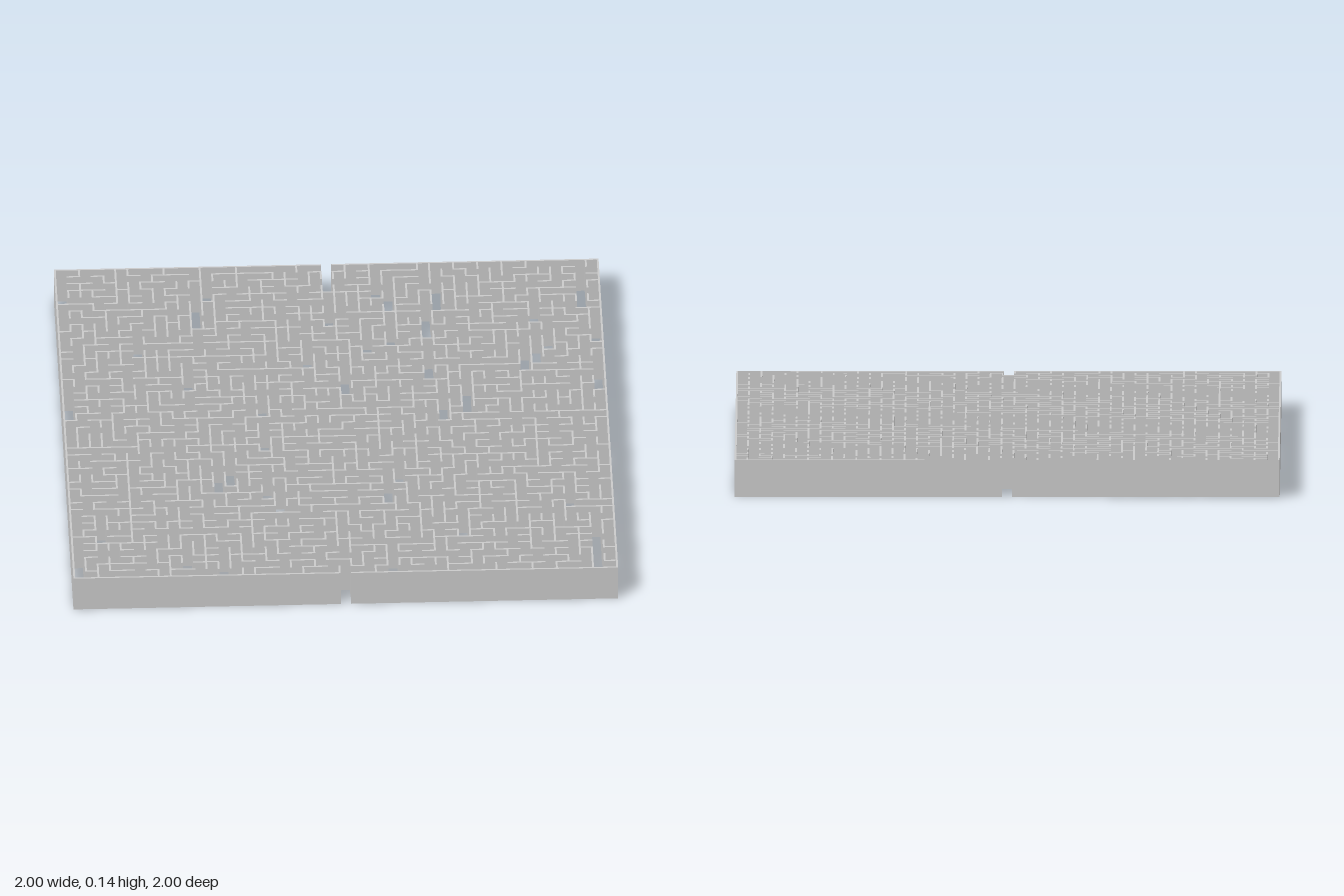
import * as THREE from 'three';
import { mergeGeometries } from 'three/addons/utils/BufferGeometryUtils.js';

const N = 45;                    // cells per side
const T = 0.007;                 // wall thickness
const H = 0.137;                 // wall height
const CELL = (2 - T) / N;
const MID = (N - 1) / 2;         // column of the entrance and exit

// Long straight walls that the maze is grown around: [line, from, to]
const longAcross = [
  [13, 7, 12], [27, 0, 2], [22, 40, 45], [32, 20, 26], [4, 22, 26],
  [8, 14, 18], [40, 1, 5], [28, 30, 36], [37, 3, 6],
];
const longDeep = [
  [5, 0, 5], [12, 0, 2], [13, 5, 10], [11, 5, 10], [18, 9, 14],
  [5, 27, 40], [8, 42, 45], [13, 41, 44], [2, 2, 4],
];

function seeded(seed) {
  return () => {
    seed = (seed * 1664525 + 1013904223) >>> 0;
    return seed / 4294967296;
  };
}

// grid[line][step] is true where a wall stands
const wallGrid = () => Array.from({ length: N + 1 }, () => new Array(N).fill(true));

// Opens walls in a shuffled order until every cell is joined to every other
function growMaze() {
  const random = seeded(45);
  const across = wallGrid(), deep = wallGrid();
  const isLong = (list, line, step) => list.some(([l, a, b]) => l === line && step >= a && step < b);
  const edges = [];
  for (let line = 1; line < N; line++) {
    for (let step = 0; step < N; step++) {
      edges.push({ grid: across, line, step, a: (line - 1) * N + step, b: line * N + step,
        order: random() + (isLong(longAcross, line, step) ? 1 : 0) });
      edges.push({ grid: deep, line, step, a: step * N + line - 1, b: step * N + line,
        order: random() + (isLong(longDeep, line, step) ? 1 : 0) });
    }
  }
  edges.sort((p, q) => p.order - q.order);

  const parent = Array.from({ length: N * N }, (_, i) => i);
  const root = (i) => {
    while (parent[i] !== i) i = parent[i] = parent[parent[i]];
    return i;
  };
  for (const { grid, line, step, a, b } of edges) {
    const ra = root(a), rb = root(b);
    if (ra === rb) continue;
    parent[ra] = rb;
    grid[line][step] = false;
  }
  // Entrance at the front, exit at the back
  across[0][MID] = false;
  across[N][MID] = false;
  return { across, deep };
}

// One box per unbroken run of wall along a grid line
function runsOnLine(row, line, alongX) {
  const boxes = [];
  const at = (i) => (i - N / 2) * CELL;
  for (let start = 0; start < N; start++) {
    if (!row[start]) continue;
    let end = start;
    while (end < N && row[end]) end++;
    const length = (end - start) * CELL + T;
    const centre = at((start + end) / 2);
    const box = new THREE.BoxGeometry(alongX ? length : T, H, alongX ? T : length);
    box.translate(alongX ? centre : at(line), H / 2, alongX ? at(line) : centre);
    boxes.push(box);
    start = end;
  }
  return boxes;
}

export function createModel() {
  const group = new THREE.Group();
  group.name = 'maze';
  const material = new THREE.MeshStandardMaterial({ color: 0xcccccc });
  const { across, deep } = growMaze();
  const outer = [], innerAcross = [], innerDeep = [];

  for (let line = 0; line <= N; line++) {
    const edge = line === 0 || line === N;
    (edge ? outer : innerAcross).push(...runsOnLine(across[line], line, true));
    (edge ? outer : innerDeep).push(...runsOnLine(deep[line], line, false));
  }

  const parts = { outerWalls: outer, crossWalls: innerAcross, lengthwiseWalls: innerDeep };
  for (const [name, boxes] of Object.entries(parts)) {
    const mesh = new THREE.Mesh(mergeGeometries(boxes), material);
    mesh.name = name;
    group.add(mesh);
  }
  return group;
}
